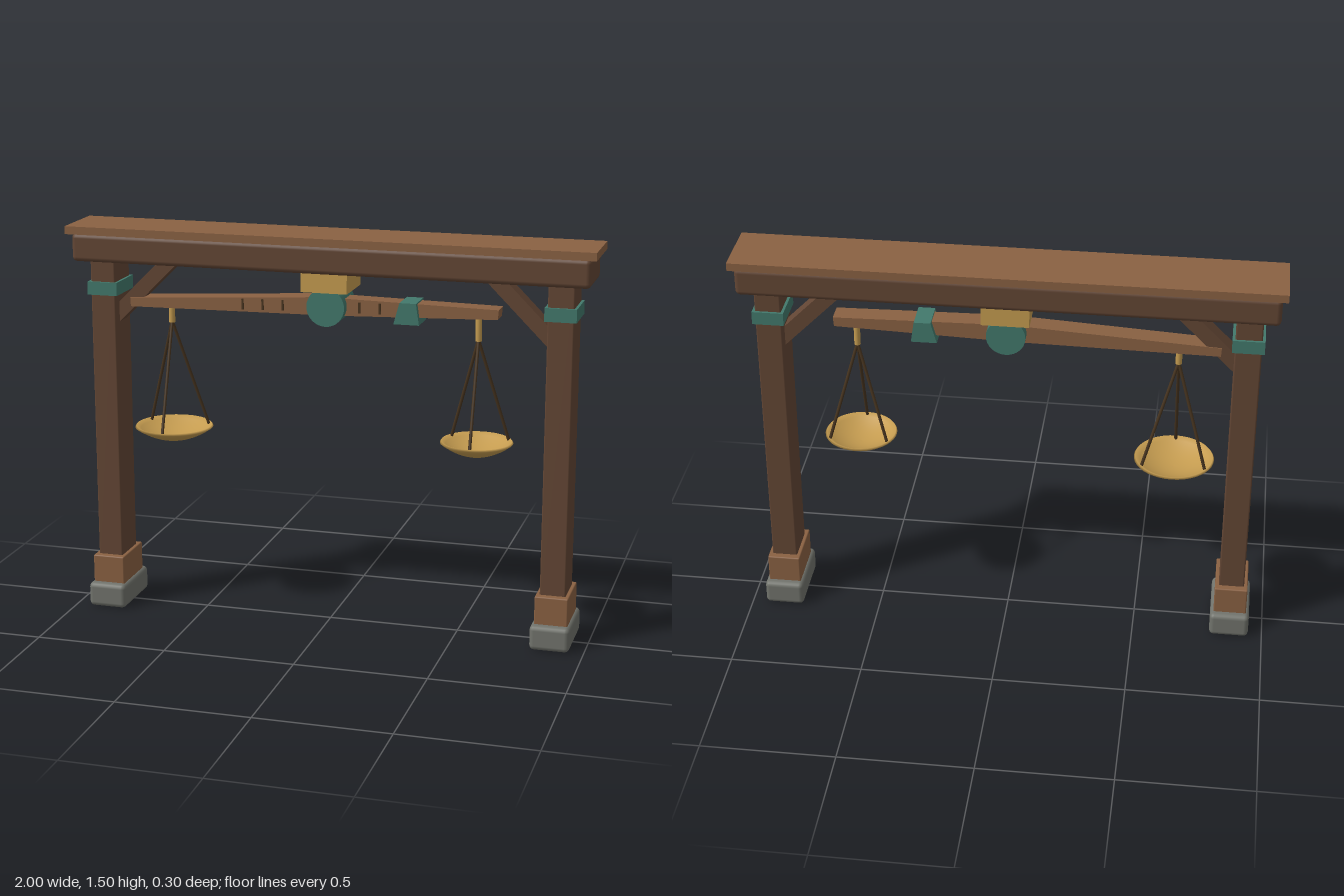
import * as THREE from 'three';
import { RoundedBoxGeometry } from 'three/addons/geometries/RoundedBoxGeometry.js';

const mat = (name, color, side = THREE.FrontSide) => {
  const m = new THREE.MeshStandardMaterial({ color, side });
  m.name = name;
  return m;
};

export function createModel() {
  const darkWood = mat('dark wood', 0x634634);
  const lightWood = mat('light wood', 0x8a6142);
  const teal = mat('teal metal', 0x42796c);
  const brass = mat('brass', 0xc59c50);
  const stone = mat('stone', 0x71736c);
  const cord = mat('cord', 0x47341f);

  const model = new THREE.Group();
  model.name = 'hangingBalance';

  const add = (parent, name, geo, material, x = 0, y = 0, z = 0) => {
    const mesh = new THREE.Mesh(geo, material);
    mesh.name = name;
    mesh.position.set(x, y, z);
    parent.add(mesh);
    return mesh;
  };
  // Block given by its bottom and top heights, with optional rounded edges
  const block = (parent, name, material, w, y0, y1, d, x = 0, r = 0) => add(parent, name,
    r ? new RoundedBoxGeometry(w, y1 - y0, d, 2, r) : new THREE.BoxGeometry(w, y1 - y0, d),
    material, x, (y0 + y1) / 2);
  // Outline in x and y, extruded evenly about z = 0
  const slab = (name, points, depth, material) => {
    const shape = new THREE.Shape(points.map(([x, y]) => new THREE.Vector2(x, y)));
    const geo = new THREE.ExtrudeGeometry(shape, { depth, bevelEnabled: false });
    return add(model, name, geo.translate(0, 0, -depth / 2), material);
  };

  // Posts with footings, collars and diagonal braces
  for (const s of [-1, 1]) {
    const post = new THREE.Group();
    post.name = s > 0 ? 'leftPost' : 'rightPost';
    model.add(post);
    const x = s * 0.872;
    block(post, 'stoneFoot', stone, 0.15, 0, 0.095, 0.262, x, 0.018);
    block(post, 'footing', lightWood, 0.125, 0.09, 0.202, 0.204, x, 0.005);
    block(post, 'shaft', darkWood, 0.097, 0.19, 1.375, 0.152, x, 0.006);
    block(post, 'collar', teal, 0.117, 1.236, 1.286, 0.172, x);
    const brace = add(post, 'brace', new THREE.BoxGeometry(0.34, 0.055, 0.07), darkWood, s * 0.724, 1.266);
    brace.rotation.z = -s * Math.PI / 4;
  }

  // Top beam and its cap board
  block(model, 'topBeam', darkWood, 1.96, 1.365, 1.472, 0.226, 0, 0.018);
  block(model, 'capBoard', lightWood, 2, 1.47, 1.5, 0.246);

  // Bracket and pivot
  block(model, 'bracket', brass, 0.176, 1.295, 1.37, 0.194);
  add(model, 'pivotDrum', new THREE.CylinderGeometry(0.072, 0.072, 0.15, 32).rotateX(Math.PI / 2), teal, 0, 1.237);

  // Tapered, slightly tilted weighing arm
  slab('weighingArm', [
    [-0.776, 1.19], [0, 1.2], [0.637, 1.221], [0.64, 1.257], [0.05, 1.267], [-0.05, 1.266], [-0.778, 1.224],
  ], 0.076, lightWood);

  // Graduation marks on the front of the arm
  for (const x of [-0.33, -0.252, -0.174, 0.12, 0.198]) {
    const y = 1.234 + x * (x < 0 ? 0.028 : 0.012);
    const mark = add(model, 'graduationMark', new THREE.BoxGeometry(0.008, 0.04, 0.006), cord, x, y, 0.039);
    mark.rotation.z = 0.022;
  }

  // Sliding weight
  slab('slidingWeight', [[0.254, 1.187], [0.35, 1.187], [0.338, 1.267], [0.276, 1.267]], 0.118, teal);

  // Hanging pans, each on three cords
  const up = new THREE.Vector3(0, 1, 0);
  const hangPan = (name, x, hookTop, rimY, radius, cordRadius) => {
    const pan = new THREE.Group();
    pan.name = name;
    pan.position.x = x;
    model.add(pan);
    const knot = 1.13, depth = 0.052;
    add(pan, 'hook', new THREE.CylinderGeometry(0.012, 0.012, hookTop - knot, 12), brass, 0, (hookTop + knot) / 2);

    // Shallow dish: outside from the centre to the rim, then back along the inside
    const profile = [];
    for (let i = 0; i <= 8; i++) profile.push(new THREE.Vector2(radius * i / 8, depth * ((i / 8) ** 2 - 1) - 0.004));
    for (let i = 8; i >= 0; i--) profile.push(new THREE.Vector2((radius - 0.005) * i / 8, (depth - 0.006) * ((i / 8) ** 2 - 1) + 0.003));
    add(pan, 'dish', new THREE.LatheGeometry(profile, 40), brass, 0, rimY);

    for (const a of [90, 210, 330]) {
      const t = THREE.MathUtils.degToRad(a);
      const top = new THREE.Vector3(0, knot + 0.005, 0);
      const end = new THREE.Vector3(Math.cos(t) * cordRadius, rimY - 0.006, Math.sin(t) * cordRadius);
      const dir = top.clone().sub(end);
      const line = add(pan, 'cord', new THREE.CylinderGeometry(0.006, 0.006, dir.length(), 8), cord);
      line.position.copy(top).add(end).multiplyScalar(0.5);
      line.quaternion.setFromUnitVectors(up, dir.normalize());
    }
  };
  hangPan('rightPan', -0.625, 1.205, 0.725, 0.15, 0.136);
  hangPan('leftPan', 0.56, 1.228, 0.75, 0.136, 0.126);

  return model;
}
